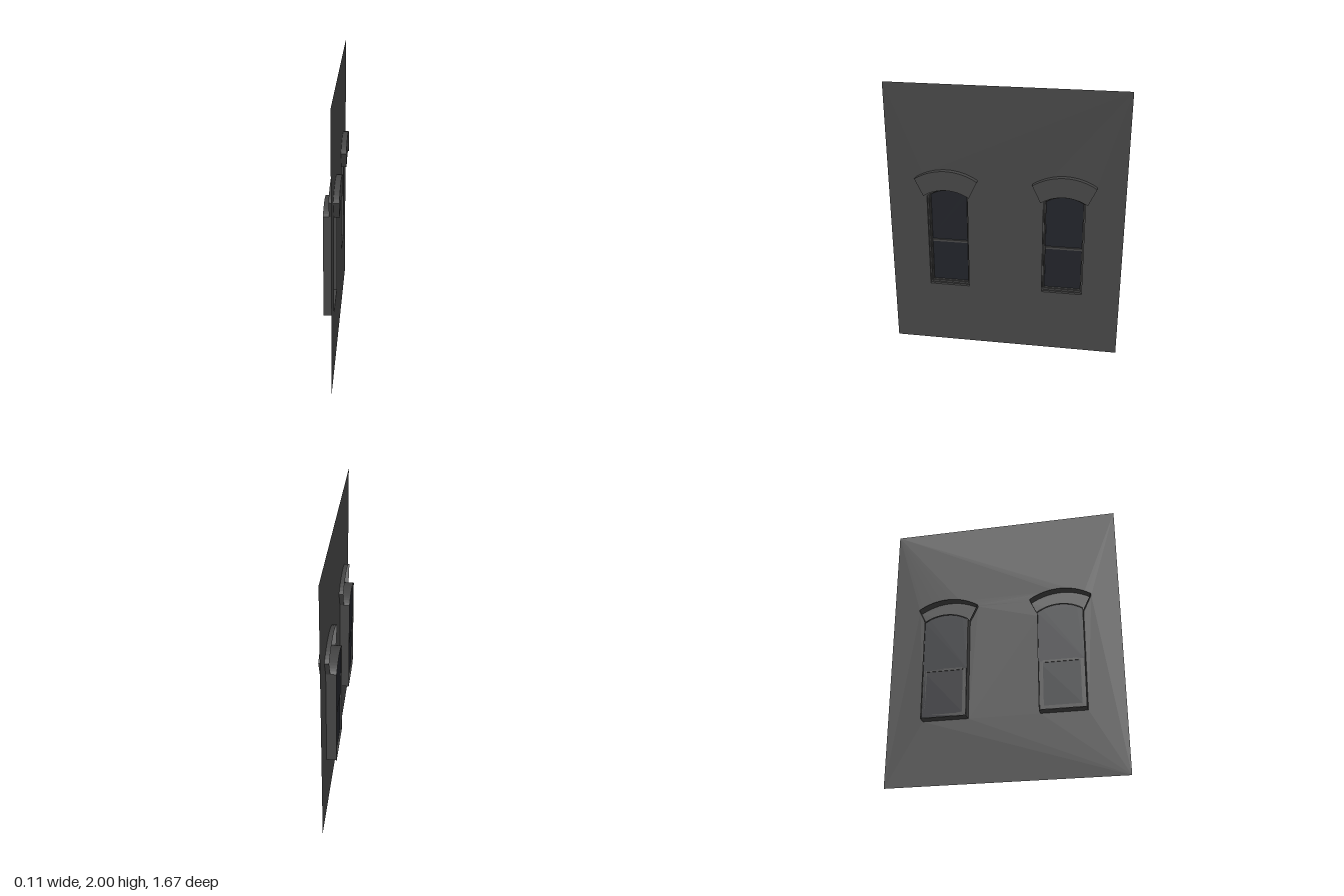
import * as THREE from 'three';

const masonry = new THREE.MeshStandardMaterial({ color: 0x444444, side: THREE.DoubleSide });
const glass = new THREE.MeshStandardMaterial({ color: 0x202228, side: THREE.DoubleSide });

const WALL_X = 0.015; // wall plane; casings sit flush with it
const WINDOW_Z = 0.415;

// Circular arc through (half, spring), (0, crown), (-half, spring)
function arc(half, spring, crown, n = 16) {
  const sag = crown - spring;
  const r = (half * half + sag * sag) / (2 * sag);
  const a = Math.asin(half / r);
  const pts = [];
  for (let i = 0; i <= n; i++) {
    const t = a - (2 * a * i) / n;
    pts.push(new THREE.Vector2(r * Math.sin(t), crown - r + r * Math.cos(t)));
  }
  return pts;
}

// Arched window outline, inset from the outer casing edge
function opening(inset) {
  const half = 0.163 - inset, bottom = 0.46 + inset;
  return [
    new THREE.Vector2(-half, bottom), new THREE.Vector2(half, bottom),
    ...arc(half, 1.2 - inset * 0.7, 1.25 - inset),
  ];
}

// Shapes lie in x/y; local z becomes the wall's outward direction
function add(parent, name, geometry, material, depth = 0) {
  const mesh = new THREE.Mesh(geometry, material);
  mesh.name = name;
  mesh.position.z = depth;
  parent.add(mesh);
  return mesh;
}

function ring(parent, name, outer, inner, back, front) {
  const shape = new THREE.Shape(opening(outer));
  shape.holes.push(new THREE.Path(opening(inner)));
  const geo = new THREE.ExtrudeGeometry(shape, { depth: front - back, bevelEnabled: false });
  add(parent, name, geo, masonry, back);
}

// Open band following a closed outline
function band(points, back, front) {
  const pos = [];
  points.forEach((p, i) => {
    const q = points[(i + 1) % points.length];
    pos.push(p.x, p.y, back, q.x, q.y, back, q.x, q.y, front);
    pos.push(p.x, p.y, back, q.x, q.y, front, p.x, p.y, front);
  });
  const geo = new THREE.BufferGeometry();
  geo.setAttribute('position', new THREE.Float32BufferAttribute(pos, 3));
  geo.computeVertexNormals();
  return geo;
}

function createWindow() {
  const g = new THREE.Group();
  g.name = 'archedWindow';

  // Stepped casing, deepest step innermost
  ring(g, 'casingShell', 0, 0.005, -0.055, WALL_X);
  ring(g, 'outerCasing', 0.005, 0.017, -0.042, WALL_X);
  ring(g, 'innerCasing', 0.017, 0.026, -0.042, -0.005);
  ring(g, 'sashFrame', 0.026, 0.033, -0.042, -0.025);

  // Panes: the upper one sits slightly behind the lower one
  const half = 0.158, split = 0.815;
  const upper = new THREE.Shape([
    new THREE.Vector2(-half, split), new THREE.Vector2(half, split), ...arc(half, 1.196, 1.245),
  ]);
  add(g, 'upperPane', new THREE.ShapeGeometry(upper), glass, -0.047);
  const lower = new THREE.PlaneGeometry(half * 2, split - 0.465);
  lower.translate(0, (split + 0.465) / 2, 0);
  add(g, 'lowerPane', lower, glass, -0.042);
  const rail = new THREE.BoxGeometry(0.262, 0.016, 0.014);
  rail.translate(0, split, 0);
  add(g, 'meetingRail', rail, masonry, -0.04);

  // Splayed arched hood, hollow at the back
  const outline = [...arc(0.222, 1.325, 1.392), ...arc(0.163, 1.2, 1.25).reverse()];
  add(g, 'hoodFace', new THREE.ShapeGeometry(new THREE.Shape(outline)), masonry, 0.053);
  add(g, 'hoodSides', band(outline, -0.015, 0.053), masonry);
  return g;
}

export function createModel() {
  const model = new THREE.Group();
  model.name = 'windowWall';
  const facade = new THREE.Group();
  facade.name = 'facade';
  facade.rotation.y = Math.PI / 2;
  model.add(facade);

  // Thin wall cut out around each window and hood
  const wall = new THREE.Shape([
    new THREE.Vector2(-0.835, 0), new THREE.Vector2(0.835, 0),
    new THREE.Vector2(0.835, 2), new THREE.Vector2(-0.835, 2),
  ]);
  const cut = [
    new THREE.Vector2(-0.163, 0.46), new THREE.Vector2(0.163, 0.46), new THREE.Vector2(0.163, 1.2),
    ...arc(0.222, 1.325, 1.392), new THREE.Vector2(-0.163, 1.2),
  ];
  for (const side of [-1, 1]) {
    const x = side * WINDOW_Z;
    wall.holes.push(new THREE.Path(cut.map((p) => new THREE.Vector2(p.x + x, p.y))));
    const win = createWindow();
    win.position.x = x;
    facade.add(win);
  }
  add(facade, 'wall', new THREE.ShapeGeometry(wall), masonry, WALL_X);
  return model;
}
